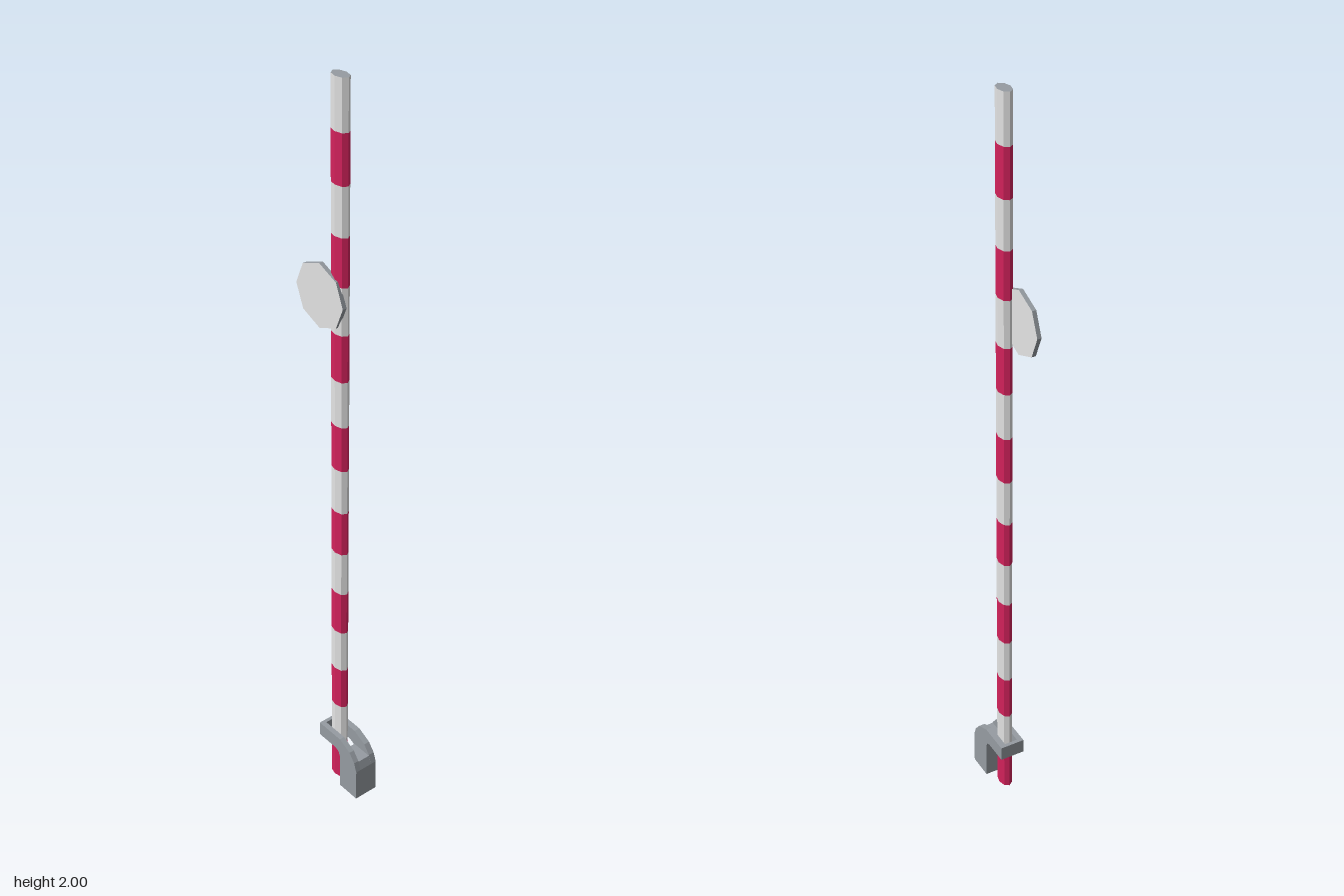
import * as THREE from 'three';

const mat = (name, color) => {
  const m = new THREE.MeshStandardMaterial({ color, flatShading: true });
  m.name = name;
  return m;
};

export function createModel() {
  const white = mat('white paint', 0xe4e4e4);
  const red = mat('crimson paint', 0xd4225c);
  const metal = mat('grey metal', 0x969ca2);

  const model = new THREE.Group();
  model.name = 'stripedBarrierPole';
  const add = (parent, name, geometry, material) => {
    const mesh = new THREE.Mesh(geometry, material);
    mesh.name = name;
    parent.add(mesh);
    return mesh;
  };

  // Flattened eight-sided pole, in sixteen alternating bands
  const pole = new THREE.Group();
  pole.name = 'pole';
  pole.position.set(0.013, 0, -0.001);
  model.add(pole);
  const bands = 16, h = 2 / bands;
  for (let i = 0; i < bands; i++) {
    const g = new THREE.CylinderGeometry(1, 1, h, 8, 1, true);
    g.scale(0.027, 1, 0.0165);
    add(pole, i % 2 ? 'whiteBand' : 'redBand', g, i % 2 ? white : red).position.y = (i + 0.5) * h;
  }
  // Bare metal ends
  for (const end of [-1, 1]) {
    const cap = new THREE.CircleGeometry(1, 8);
    cap.rotateX(-end * Math.PI / 2);
    cap.scale(0.027, 1, 0.0165);
    add(pole, end > 0 ? 'topCap' : 'bottomCap', cap, metal).position.y = end > 0 ? 2 : 0;
  }

  // Octagonal reflector disc with a metal rim
  const disc = add(model, 'reflectorDisc', new THREE.CylinderGeometry(0.084, 0.084, 0.011, 8), [metal, white, white]);
  disc.rotation.x = Math.PI / 2;
  disc.position.set(-0.038, 1.454, 0.0135);

  // Hooked bracket: two side cheeks joined by a recessed leg and an end wall
  const bracket = new THREE.Group();
  bracket.name = 'bracket';
  model.add(bracket);
  const slab = (name, points, z0, z1) => {
    const shape = new THREE.Shape(points.map(([x, y]) => new THREE.Vector2(x, y)));
    const g = new THREE.ExtrudeGeometry(shape, { depth: z1 - z0, bevelEnabled: false });
    g.translate(0, 0, z0);
    add(bracket, name, g, metal);
  };
  const cheek = [[-0.03, 0.123], [0.036, 0.123], [0.049, 0.117], [0.054, 0.104], [0.054, 0],
    [0.122, 0], [0.122, 0.095], [0.113, 0.121], [0.094, 0.145], [0.054, 0.164], [-0.03, 0.164]];
  slab('frontCheek', cheek, 0.018, 0.0325);
  slab('backCheek', cheek, -0.0345, -0.018);
  slab('leg', [[0.054, 0], [0.122, 0], [0.122, 0.095], [0.113, 0.118], [0.054, 0.118]], -0.018, 0.018);
  slab('endWall', [[-0.03, 0.123], [-0.02, 0.123], [-0.02, 0.164], [-0.03, 0.164]], -0.018, 0.018);

  return model;
}
